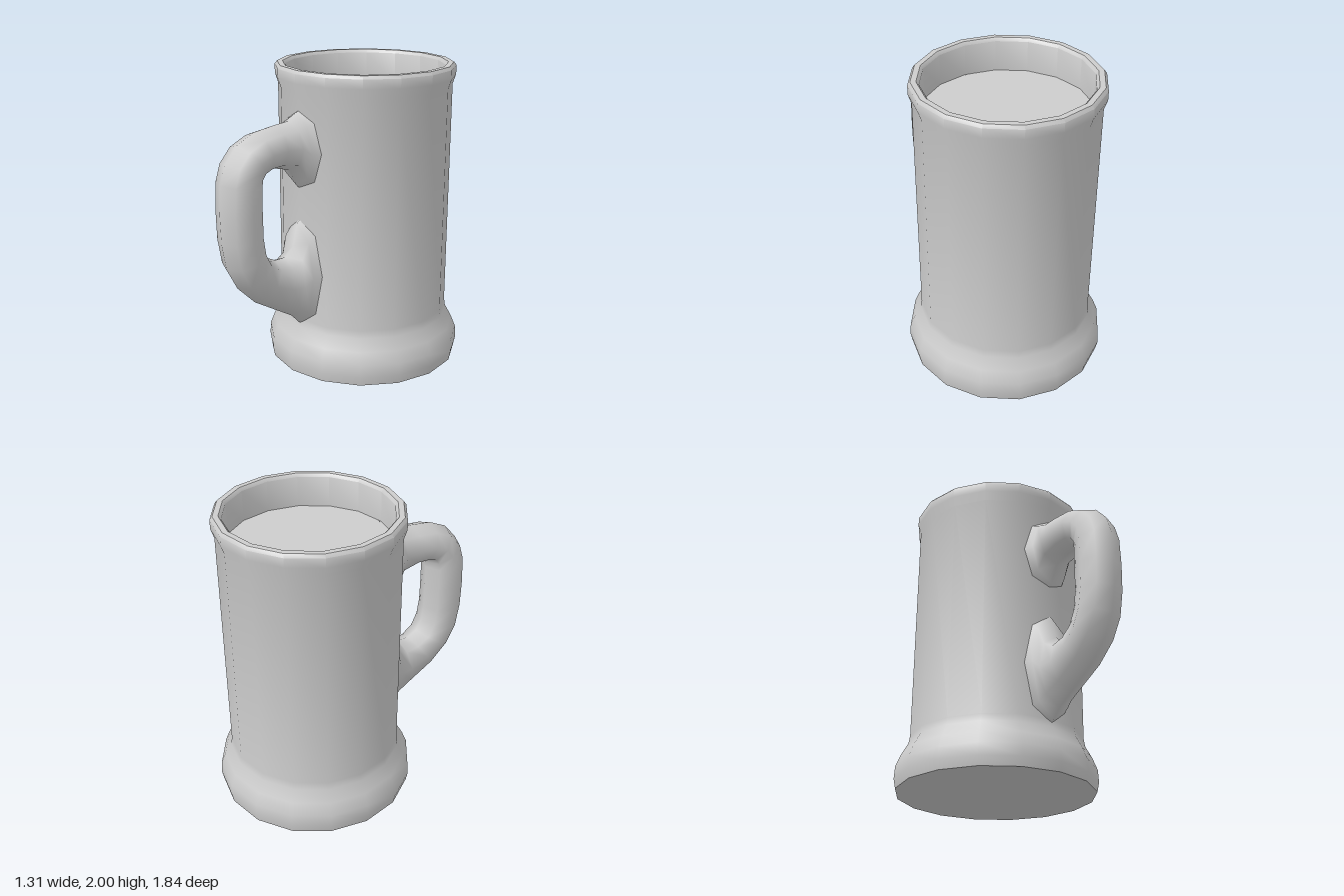
import * as THREE from 'three';
import { toCreasedNormals } from 'three/addons/utils/BufferGeometryUtils.js';

const SIDES = 16;
const AXIS_Z = -0.26;

// Handle stations: outer z, outer y, inner z, inner y, half width
const HANDLE = [
  [0.24, 1.79, 0.24, 1.20, 0.19],
  [0.33, 1.74, 0.33, 1.28, 0.155],
  [0.385, 1.70, 0.385, 1.39, 0.14],
  [0.50, 1.69, 0.50, 1.42, 0.14],
  [0.65, 1.67, 0.58, 1.42, 0.145],
  [0.78, 1.61, 0.62, 1.405, 0.145],
  [0.87, 1.51, 0.635, 1.38, 0.145],
  [0.91, 1.39, 0.637, 1.34, 0.145],
  [0.92, 1.20, 0.637, 1.19, 0.145],
  [0.915, 1.02, 0.635, 1.03, 0.145],
  [0.885, 0.85, 0.62, 0.93, 0.145],
  [0.81, 0.71, 0.58, 0.855, 0.142],
  [0.68, 0.58, 0.51, 0.82, 0.135],
  [0.50, 0.47, 0.43, 0.82, 0.13],
  [0.385, 0.40, 0.365, 0.88, 0.14],
  [0.33, 0.34, 0.33, 1.02, 0.16],
  [0.24, 0.28, 0.24, 1.12, 0.19],
];

// Skins elliptical rings between the outer and inner edge of the handle
function handleGeometry(stations, ring = 8) {
  const positions = [], index = [];
  stations.forEach(([oz, oy, iz, iy, half], i) => {
    for (let j = 0; j < ring; j++) {
      const a = (j / ring) * Math.PI * 2;
      const t = (1 - Math.cos(a)) / 2;
      positions.push(half * Math.sin(a), oy + (iy - oy) * t, oz + (iz - oz) * t);
      if (i === stations.length - 1) continue;
      const p = i * ring + j, q = i * ring + ((j + 1) % ring);
      index.push(p, p + ring, q, q, p + ring, q + ring);
    }
  });
  const geometry = new THREE.BufferGeometry();
  geometry.setAttribute('position', new THREE.Float32BufferAttribute(positions, 3));
  geometry.setIndex(index);
  geometry.computeVertexNormals();
  return geometry;
}

export function createModel() {
  const model = new THREE.Group();
  model.name = 'mug';
  const grey = new THREE.MeshStandardMaterial({ color: 0xcccccc });
  grey.name = 'light grey';

  const add = (name, geometry, z = 0, y = 0) => {
    const mesh = new THREE.Mesh(geometry, grey);
    mesh.name = name;
    mesh.position.set(0, y, z);
    model.add(mesh);
    return mesh;
  };

  // Flared foot, straight wall, rounded rim and inner wall in one profile
  const profile = [
    [0.645, 0], [0.657, 0.06], [0.652, 0.14], [0.62, 0.22], [0.576, 0.30],
    [0.568, 0.35], [0.568, 1.86], [0.588, 1.92], [0.588, 1.98], [0.572, 2.0],
    [0.537, 2.0], [0.52, 1.98], [0.52, 1.77],
  ].map(([r, y]) => new THREE.Vector2(r, y));
  add('body', toCreasedNormals(new THREE.LatheGeometry(profile, SIDES), 0.75), AXIS_Z);

  // Flat underside
  const underside = add('underside', new THREE.CircleGeometry(0.645, SIDES), AXIS_Z);
  underside.rotation.x = Math.PI / 2;

  // Level surface of the drink inside the rim
  const drink = add('drink', new THREE.CircleGeometry(0.52, SIDES), AXIS_Z, 1.78);
  drink.rotation.x = -Math.PI / 2;

  // Loop handle whose flared roots sink into the wall
  add('handle', handleGeometry(HANDLE));

  return model;
}
